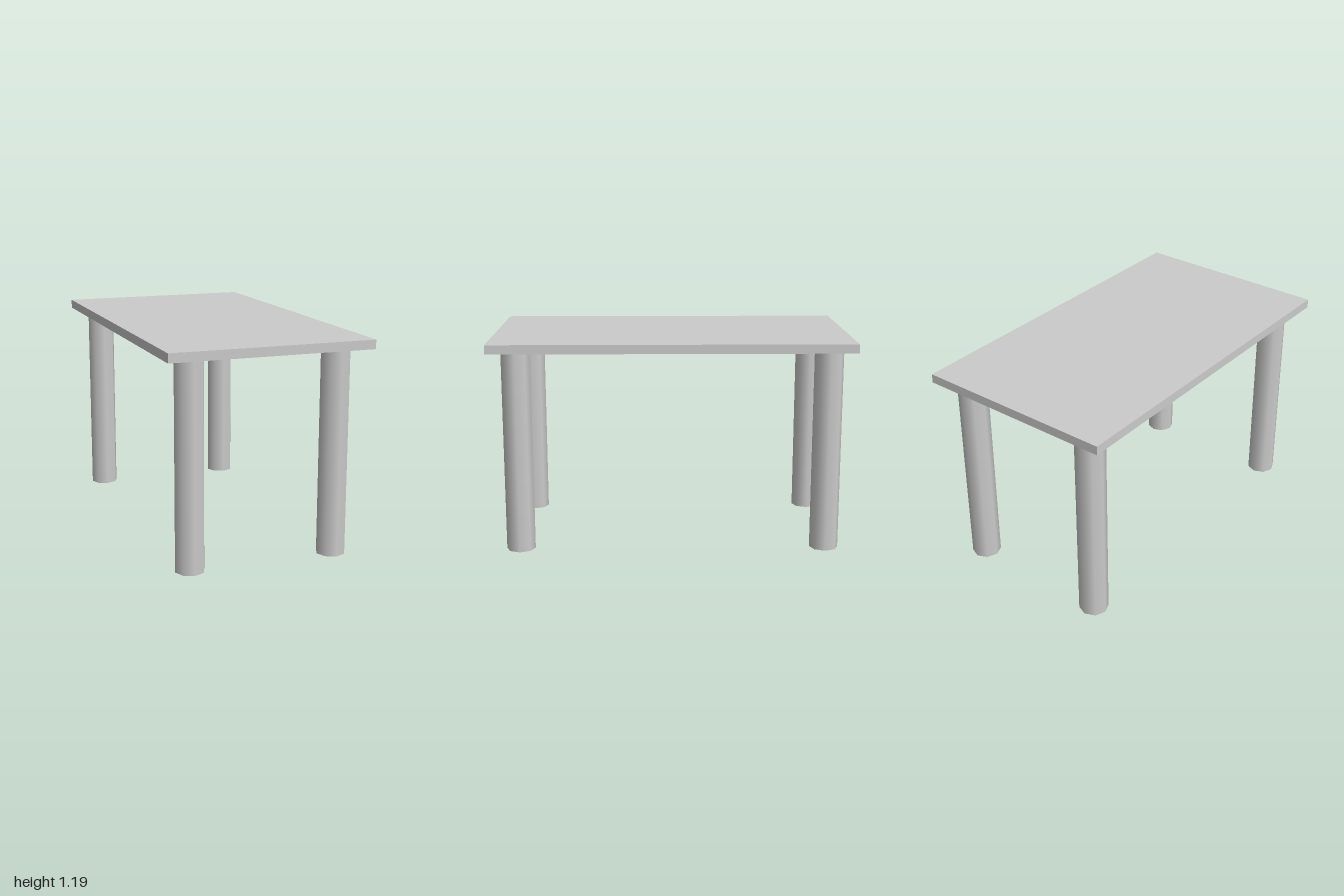
import * as THREE from 'three';

export function createModel() {
  const group = new THREE.Group();
  group.name = 'table';
  const material = new THREE.MeshStandardMaterial({ color: 0xcccccc });

  const topThickness = 0.05;
  const legHeight = 1.14;

  // Flat rectangular slab
  const top = new THREE.Mesh(new THREE.BoxGeometry(1.13, topThickness, 2), material);
  top.name = 'tableTop';
  top.position.y = legHeight + topThickness / 2;
  group.add(top);

  // Four eight-sided, smooth-shaded legs
  const legGeometry = new THREE.CylinderGeometry(0.081, 0.081, legHeight, 8);
  const legs = [
    ['frontLeftLeg', 0.406, 0.856],
    ['frontRightLeg', -0.408, 0.856],
    ['backLeftLeg', 0.406, -0.864],
    ['backRightLeg', -0.408, -0.864],
  ];
  for (const [name, x, z] of legs) {
    const leg = new THREE.Mesh(legGeometry, material);
    leg.name = name;
    leg.position.set(x, legHeight / 2, z);
    group.add(leg);
  }

  return group;
}
